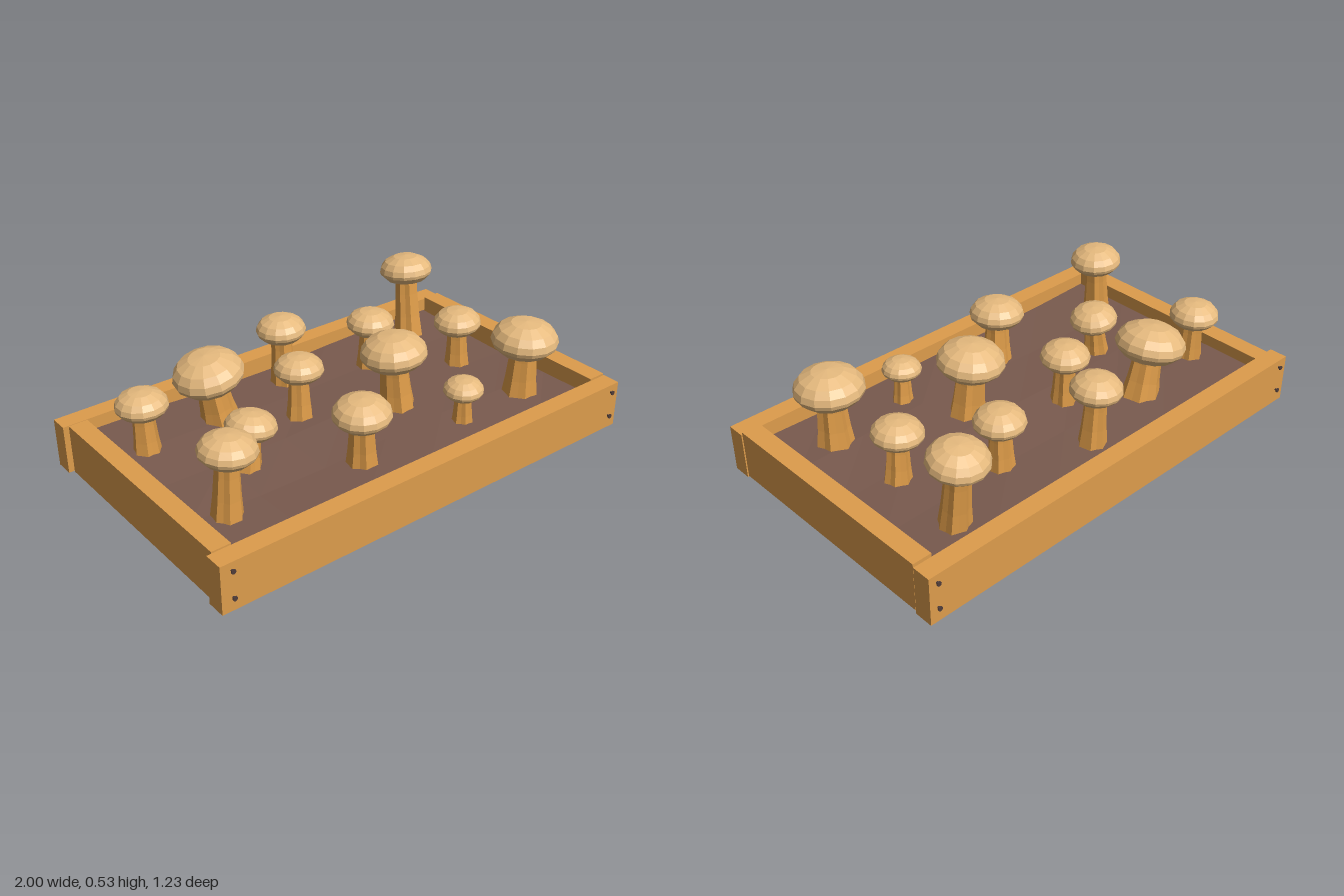
import * as THREE from 'three';

const mat = (name, color) => {
  const m = new THREE.MeshStandardMaterial({ color, flatShading: true });
  m.name = name;
  return m;
};

const SOIL_Y = 0.158;

// x, z, radius and top height of each cap, then x, z of the stem foot
const MUSHROOMS = [
  [-0.785, -0.255, 0.106, 0.432, -0.78, -0.25],
  [-0.46, -0.29, 0.148, 0.467, -0.415, -0.29],
  [-0.03, -0.39, 0.107, 0.466, -0.022, -0.385],
  [0.35, -0.255, 0.105, 0.43, 0.348, -0.255],
  [0.70, -0.425, 0.119, 0.536, 0.698, -0.39],
  [-0.145, -0.11, 0.104, 0.432, -0.148, -0.105],
  [0.665, -0.04, 0.104, 0.42, 0.677, -0.042],
  [-0.505, 0.07, 0.104, 0.386, -0.53, 0.072],
  [0.195, 0.08, 0.14, 0.494, 0.213, 0.093],
  [-0.757, 0.3, 0.113, 0.498, -0.772, 0.3],
  [-0.175, 0.33, 0.118, 0.446, -0.163, 0.322],
  [0.335, 0.35, 0.083, 0.359, 0.342, 0.345],
  [0.707, 0.32, 0.142, 0.489, 0.707, 0.312],
];

// Full dome over a tucked rim with a hollow underside, for radius 1
const CAP_PROFILE = [
  [0.33, -0.18], [0.74, -0.34], [0.96, -0.12], [1, 0], [0.95, 0.19],
  [0.79, 0.39], [0.45, 0.56], [0, 0.61],
].map(([x, y]) => new THREE.Vector2(x, y));

// Fluted stem, flared at the foot
function stemGeometry(r, height, seed) {
  const geo = new THREE.CylinderGeometry(1, 1, height, 14, 3, true);
  geo.translate(0, height / 2, 0);
  const p = geo.attributes.position;
  for (let i = 0; i < p.count; i++) {
    const x = p.getX(i), z = p.getZ(i), t = p.getY(i) / height;
    const a = Math.atan2(z, x);
    const flare = 0.385 + 0.14 * (1 - t) ** 2;
    const flute = 1 + 0.07 * Math.sin(7 * a) + 0.04 * Math.sin(3 * a + seed);
    p.setX(i, x * r * flare * flute);
    p.setZ(i, z * r * flare * flute);
  }
  geo.computeVertexNormals();
  return geo;
}

export function createModel() {
  const model = new THREE.Group();
  model.name = 'mushroomPlanter';
  const wood = mat('wood', 0xdd9c4c);
  const soilMat = mat('soil', 0x795a4e);
  const stemMat = mat('stem', 0xdd9b48);
  const capMat = mat('cap', 0xe6ba7e);
  capMat.side = THREE.DoubleSide;
  const nailMat = mat('nail', 0x4f3d3a);

  const add = (parent, name, geo, material, x = 0, y = 0, z = 0) => {
    const m = new THREE.Mesh(geo, material);
    m.name = name;
    m.position.set(x, y, z);
    parent.add(m);
    return m;
  };

  // Frame boards, given by their limits, the side ones a little askew
  const board = (name, x0, x1, y0, y1, z0, z1) =>
    add(model, name, new THREE.BoxGeometry(x1 - x0, y1 - y0, z1 - z0), wood,
      (x0 + x1) / 2, (y0 + y1) / 2, (z0 + z1) / 2);
  board('frontBoard', -1, 1, 0.015, 0.22, 0.52, 0.6);
  board('backBoard', -1, 0.992, 0.008, 0.22, -0.6, -0.52);
  board('rightBoard', -0.978, -0.897, 0.008, 0.222, -0.52, 0.52).rotation.set(-0.008, -0.005, 0);
  board('leftBoard', 0.91, 0.992, 0.018, 0.23, -0.515, 0.522).rotation.y = 0.005;

  // Slightly uneven soil bed
  const soil = new THREE.BoxGeometry(1.82, SOIL_Y - 0.02, 1.04, 6, 1, 4);
  const p = soil.attributes.position;
  for (let i = 0; i < p.count; i++) {
    if (p.getY(i) > 0) {
      const x = p.getX(i), z = p.getZ(i);
      p.setY(i, p.getY(i) + 0.008 * Math.sin(5 * x + 2 * z) + 0.006 * Math.cos(7 * z - 3 * x));
    }
  }
  soil.computeVertexNormals();
  add(model, 'soil', soil, soilMat, 0.005, (SOIL_Y + 0.02) / 2, 0);

  // Nails at the board ends: a short shank with a small head
  const shank = new THREE.CylinderGeometry(0.005, 0.005, 0.02, 6).rotateX(Math.PI / 2);
  const head = new THREE.CylinderGeometry(0.01, 0.01, 0.005, 8).rotateX(Math.PI / 2);
  for (const side of [-1, 1]) {
    for (const x of [-0.953, 0.957]) {
      for (const y of [0.073, 0.187]) {
        const nail = new THREE.Group();
        nail.name = 'nail';
        nail.position.set(x, y, side * 0.602);
        add(nail, 'nailShank', shank, nailMat);
        add(nail, 'nailHead', head, nailMat, 0, 0, side * 0.009);
        model.add(nail);
      }
    }
  }

  // Mushrooms, each leaning from its foot towards its cap
  const up = new THREE.Vector3(0, 1, 0);
  MUSHROOMS.forEach(([cx, cz, r, top, fx, fz], i) => {
    const foot = new THREE.Vector3(fx, SOIL_Y - 0.015, fz);
    const axis = new THREE.Vector3(cx, top - 0.61 * r, cz).sub(foot);
    const length = axis.length();
    const mushroom = new THREE.Group();
    mushroom.name = 'mushroom';
    mushroom.position.copy(foot);
    mushroom.quaternion.setFromUnitVectors(up, axis.normalize());
    add(mushroom, 'stem', stemGeometry(r, length, i), stemMat);
    const cap = add(mushroom, 'cap', new THREE.LatheGeometry(CAP_PROFILE, 14), capMat, 0, length, 0);
    cap.scale.setScalar(r);
    cap.rotation.y = i * 0.7;
    model.add(mushroom);
  });

  return model;
}
